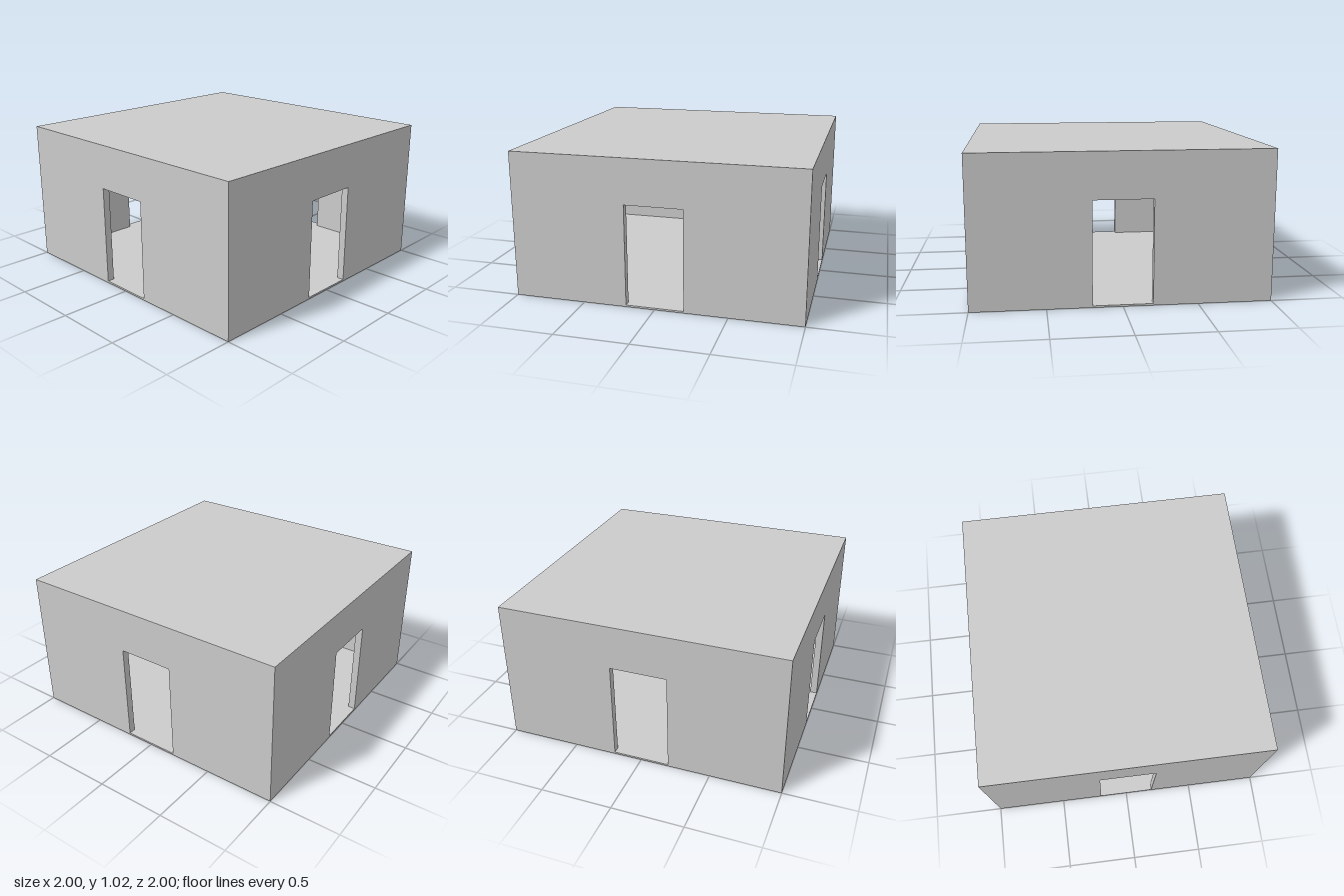
import * as THREE from 'three';

const SIZE = 2, SLAB = 0.0125, WALL_H = 1, WALL_T = 0.05;
const DOOR_W = 0.4, DOOR_H = 0.7;

const material = new THREE.MeshStandardMaterial({ color: 0xcccccc, flatShading: true });

// Wall outline that runs around a centred doorway, open at the floor
function wallGeometry(length) {
  const l = length / 2, d = DOOR_W / 2;
  const outline = [
    [-l, 0], [-d, 0], [-d, DOOR_H], [d, DOOR_H],
    [d, 0], [l, 0], [l, WALL_H], [-l, WALL_H],
  ].map(([x, y]) => new THREE.Vector2(x, y));
  const geometry = new THREE.ExtrudeGeometry(new THREE.Shape(outline), {
    depth: WALL_T, bevelEnabled: false,
  });
  // Outer face sits on the edge of the floor
  return geometry.translate(0, SLAB, SIZE / 2 - WALL_T);
}

function slab(name, y) {
  const mesh = new THREE.Mesh(new THREE.BoxGeometry(SIZE, SLAB, SIZE), material);
  mesh.name = name;
  mesh.position.y = y + SLAB / 2;
  return mesh;
}

export function createModel() {
  const room = new THREE.Group();
  room.name = 'room';

  // Floor and roof
  room.add(slab('floor', 0), slab('roof', SLAB + WALL_H));

  // Four walls with doorways; the side walls fit between front and back
  const longWall = wallGeometry(SIZE);
  const shortWall = wallGeometry(SIZE - 2 * WALL_T);
  ['frontWall', 'leftWall', 'backWall', 'rightWall'].forEach((name, i) => {
    const wall = new THREE.Mesh(i % 2 ? shortWall : longWall, material);
    wall.name = name;
    wall.rotation.y = i * Math.PI / 2;
    room.add(wall);
  });

  return room;
}
